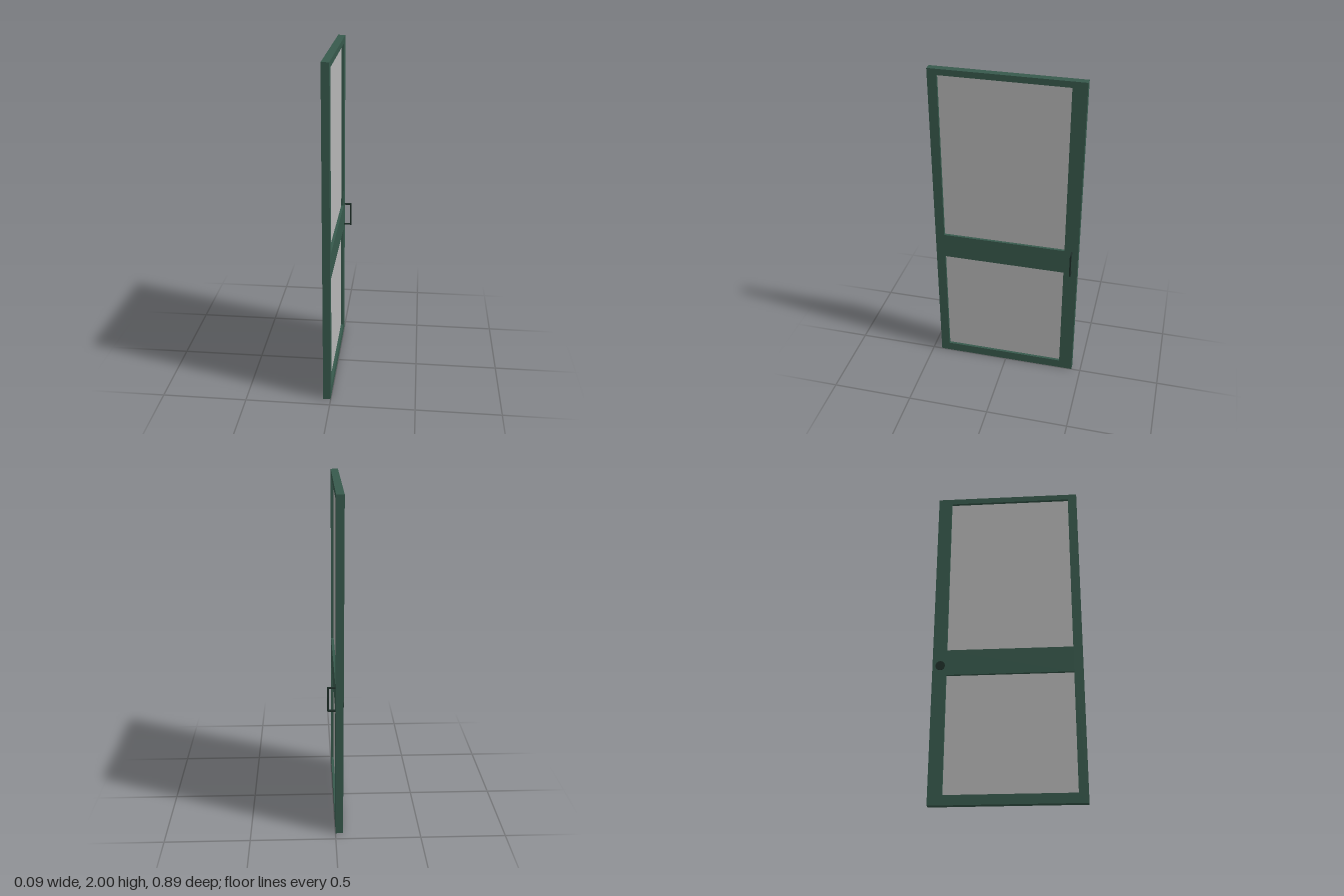
import * as THREE from 'three';

export function createModel() {
  const model = new THREE.Group();
  model.name = 'door';

  const frameGreen = new THREE.MeshStandardMaterial({ color: 0x37594c });
  const paneGrey = new THREE.MeshStandardMaterial({ color: 0xb6b6b6 });
  const handleDark = new THREE.MeshStandardMaterial({ color: 0x1e2f29 });

  const add = (name, geometry, material, x = 0, y = 0, z = 0) => {
    const mesh = new THREE.Mesh(geometry, material);
    mesh.name = name;
    mesh.position.set(x, y, z);
    model.add(mesh);
    return mesh;
  };

  const thickness = 0.044, halfWidth = 0.443, height = 2;
  const zBack = -0.36, zFront = 0.388;
  const openings = [
    { name: 'lowerPane', y0: 0.057, y1: 0.768 },
    { name: 'upperPane', y0: 0.926, y1: 1.964 },
  ];

  // Frame outline drawn in (-z, y), with a hole for each pane
  const rectangle = (path, z0, z1, y0, y1) => {
    path.moveTo(-z1, y0);
    path.lineTo(-z0, y0);
    path.lineTo(-z0, y1);
    path.lineTo(-z1, y1);
    path.closePath();
    return path;
  };
  const outline = rectangle(new THREE.Shape(), -halfWidth, halfWidth, 0, height);
  for (const o of openings) {
    outline.holes.push(rectangle(new THREE.Path(), zBack, zFront, o.y0, o.y1));
  }
  const frame = new THREE.ExtrudeGeometry(outline, { depth: thickness, bevelEnabled: false });
  frame.rotateY(Math.PI / 2);
  add('frame', frame, frameGreen, -thickness - 0.001);

  // Panes set midway in the frame
  for (const o of openings) {
    add(o.name, new THREE.BoxGeometry(0.01, o.y1 - o.y0, zFront - zBack), paneGrey,
      -thickness / 2, (o.y0 + o.y1) / 2, (zFront + zBack) / 2);
  }

  // Pull handle: an upright bar on two posts
  const handleZ = -0.405, low = 0.783, high = 0.922, bar = 0.009;
  add('handleBar', new THREE.BoxGeometry(bar, high - low + bar, bar), handleDark,
    0.041, (low + high) / 2, handleZ);
  for (const y of [low, high]) {
    add('handlePost', new THREE.BoxGeometry(0.04, bar, bar), handleDark, 0.018, y, handleZ);
  }

  // Flush round pull on the other face
  const pull = new THREE.CylinderGeometry(0.028, 0.028, 0.004, 32);
  pull.rotateZ(Math.PI / 2);
  add('flushPull', pull, handleDark, -0.046, 0.828, -0.397);

  return model;
}
